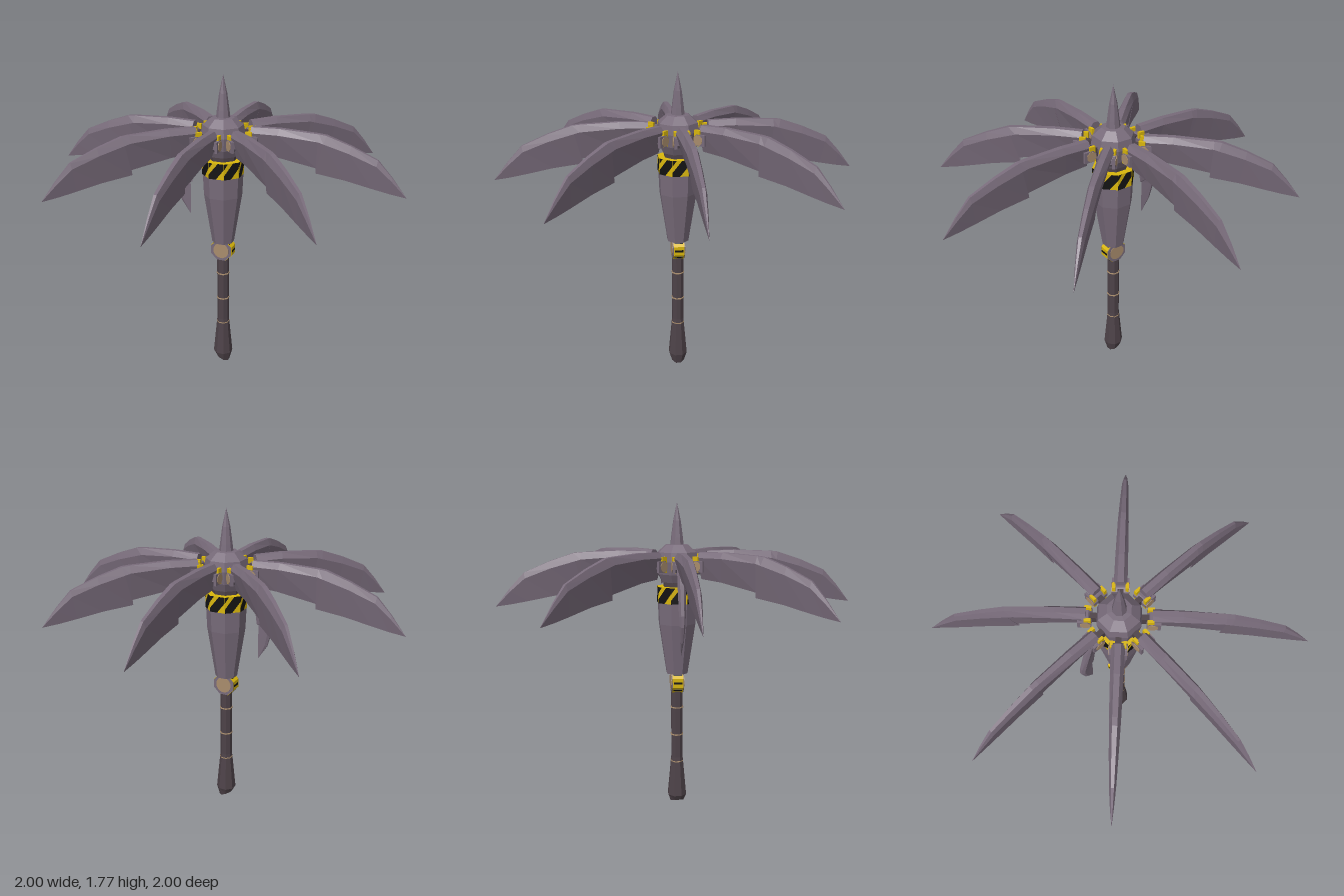
import * as THREE from 'three';

const mat = (name, color) => new THREE.MeshStandardMaterial({ name, color, flatShading: true });

export function createModel() {
  const root = new THREE.Group();
  const steel = mat('purple steel', 0x786b7a);
  const grip = mat('dark grip', 0x4d4248);
  const yellow = mat('hazard yellow', 0xd9b60c);
  const black = mat('hazard black', 0x121212);
  const tan = mat('tan metal', 0xa88c6c);

  const add = (parent, name, geo, material, x = 0, y = 0, z = 0) => {
    const m = new THREE.Mesh(geo, material);
    m.name = name;
    m.position.set(x, y, z);
    parent.add(m);
    return m;
  };

  // Eight-sided turned part with flats facing the axes
  const turned = (pts) => new THREE.LatheGeometry(
    pts.map(([r, y]) => new THREE.Vector2(r, y)), 8, Math.PI / 8);

  // Blade from cross-sections: [spine x, spine y, edge x, edge y, half width]
  const bladeGeometry = (stations) => {
    const pos = [], idx = [], n = 5;
    for (const [sx, sy, ex, ey, w] of stations) {
      const mx = sx + (ex - sx) * 0.2, my = sy + (ey - sy) * 0.2;
      pos.push(ex, ey, 0, mx, my, w, sx, sy, w * 0.45, sx, sy, -w * 0.45, mx, my, -w);
    }
    for (let i = 0; i < stations.length - 1; i++) {
      for (let j = 0; j < n; j++) {
        const a = i * n + j, b = i * n + (j + 1) % n;
        idx.push(a, a + n, b, b, a + n, b + n);
      }
    }
    for (let j = 1; j < n - 1; j++) idx.push(0, j, j + 1);
    const g = new THREE.BufferGeometry();
    g.setAttribute('position', new THREE.Float32BufferAttribute(pos, 3));
    g.setIndex(idx);
    g.computeVertexNormals();
    return g;
  };

  // Handle with a slanted pommel
  const handle = turned([[0, 0.018], [0.04, 0.018], [0.057, 0.065], [0.038, 0.27], [0.035, 0.3], [0.035, 0.73]]);
  const p = handle.attributes.position;
  for (let i = 0; i < p.count; i++) {
    if (p.getY(i) < 0.03) p.setY(i, p.getY(i) - p.getX(i) * 0.45);
  }
  add(root, 'handle', handle, grip);
  for (const y of [0.275, 0.44, 0.605]) {
    add(root, 'gripRing', turned([[0.034, y - 0.004], [0.0385, y - 0.003], [0.0385, y + 0.003], [0.034, y + 0.004]]), tan);
  }

  // Round joint between handle and body
  const joint = new THREE.Group();
  joint.name = 'joint';
  joint.position.y = 0.76;
  root.add(joint);
  const disc = (parent, name, r, len, sides, material) => {
    const g = new THREE.CylinderGeometry(r, r, len, sides);
    g.rotateY(Math.PI / sides);
    g.rotateX(Math.PI / 2);
    return add(parent, name, g, material);
  };
  disc(joint, 'jointDrum', 0.068, 0.062, 8, yellow);
  disc(joint, 'jointRim', 0.066, 0.07, 8, steel);
  disc(joint, 'jointCap', 0.047, 0.076, 12, tan);
  for (let i = 0; i < 8; i++) {
    const a = i * Math.PI / 4;
    const s = add(joint, 'jointStripe', new THREE.BoxGeometry(0.012, 0.004, 0.05), black,
      Math.cos(a) * 0.063, Math.sin(a) * 0.063, 0);
    s.rotation.z = a - Math.PI / 2;
  }

  // Flared body, hazard band and neck
  add(root, 'body', turned([[0, 0.8], [0.063, 0.81], [0.108, 1.1], [0.113, 1.22], [0, 1.22]]), steel);
  add(root, 'hazardBand', turned([[0, 1.22], [0.116, 1.22], [0.116, 1.31], [0, 1.31]]), yellow);
  const stripe = new THREE.Shape([[-0.044, -0.045], [-0.002, -0.045], [0.044, 0.012], [0.044, 0.045],
    [0.01, 0.045], [-0.044, -0.022]].map(([x, y]) => new THREE.Vector2(x, y)));
  const corner = new THREE.Shape([[-0.044, 0.012], [-0.02, 0.045], [-0.044, 0.045]]
    .map(([x, y]) => new THREE.Vector2(x, y)));
  for (let i = 0; i < 8; i++) {
    const a = i * Math.PI / 4, r = 0.1085;
    const s = add(root, 'hazardStripe', new THREE.ShapeGeometry([stripe, corner]), black,
      Math.sin(a) * r, 1.265, Math.cos(a) * r);
    s.rotation.y = a;
  }
  add(root, 'neck', turned([[0.08, 1.3], [0.08, 1.36]]), grip);

  // Head and top spike
  add(root, 'head', turned([[0, 1.325], [0.09, 1.335], [0.112, 1.38], [0.122, 1.45], [0.112, 1.5],
    [0.065, 1.54], [0, 1.545]]), steel);
  add(root, 'spike', turned([[0.04, 1.53], [0.034, 1.58], [0.022, 1.67], [0, 1.77]]), steel);

  // Eight hinged blades
  const blade = bladeGeometry([
    [0.165, 1.505, 0.17, 1.36, 0.035],
    [0.32, 1.51, 0.3, 1.35, 0.033],
    [0.53, 1.502, 0.53, 1.312, 0.029],
    [0.57, 1.498, 0.52, 1.285, 0.028],
    [0.7, 1.455, 0.68, 1.265, 0.023],
    [0.84, 1.395, 0.82, 1.238, 0.017],
    [0.92, 1.31, 0.91, 1.222, 0.01],
    [1, 1.21, 1, 1.21, 0],
  ]);
  for (let i = 0; i < 8; i++) {
    const arm = new THREE.Group();
    arm.name = 'bladeArm';
    arm.rotation.y = i * Math.PI / 4;
    root.add(arm);
    add(arm, 'blade', blade, steel);
    add(arm, 'hingeArm', new THREE.BoxGeometry(0.08, 0.05, 0.03), grip, 0.13, 1.43, 0);
    for (const s of [-1, 1]) {
      add(arm, 'hingeBracket', new THREE.BoxGeometry(0.035, 0.085, 0.016), yellow, 0.158, 1.44, s * 0.034);
      add(arm, 'hingeFork', new THREE.BoxGeometry(0.035, 0.06, 0.014), steel, 0.192, 1.43, s * 0.038);
    }
    disc(arm, 'hingePin', 0.033, 0.09, 8, steel).position.set(0.168, 1.43, 0);
    disc(arm, 'hingePinCap', 0.029, 0.096, 8, tan).position.set(0.168, 1.43, 0);
  }

  // Small blade folded down on the right side
  const folded = add(root, 'foldedBlade', bladeGeometry([
    [0.21, 1.43, 0.15, 1.43, 0.022],
    [0.235, 1.34, 0.16, 1.34, 0.022],
    [0.275, 1.18, 0.187, 1.15, 0.018],
    [0.278, 1.12, 0.198, 1.145, 0.016],
    [0.252, 1.03, 0.197, 1.05, 0.01],
    [0.2, 0.95, 0.2, 0.95, 0],
  ]), steel);
  folded.rotation.y = Math.PI;

  return root;
}
